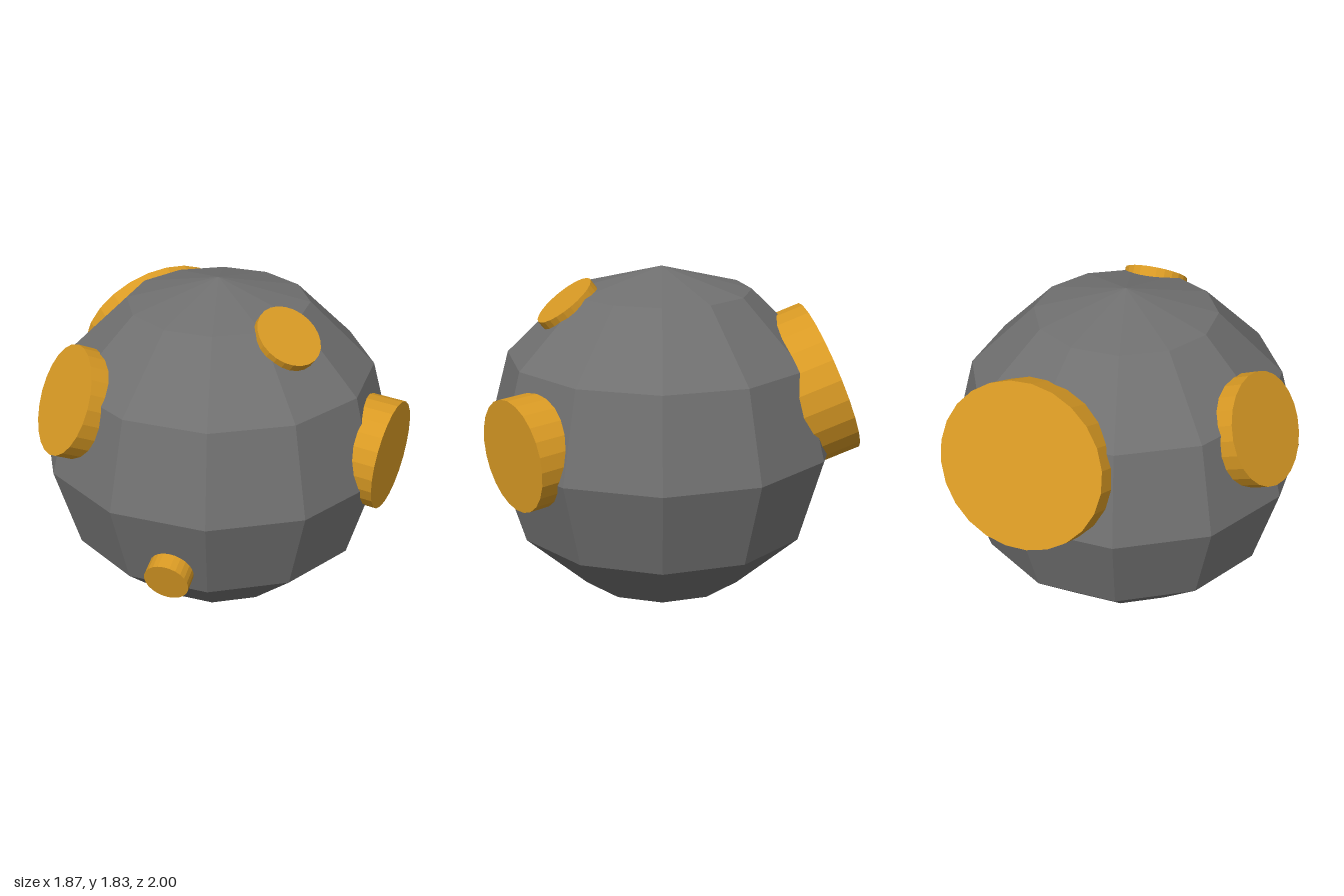
import * as THREE from 'three';

const stone = new THREE.MeshStandardMaterial({ color: 0x707070 });
stone.name = 'darkGrey';
const gold = new THREE.MeshStandardMaterial({ color: 0xd99a24 });
gold.name = 'gold';

// Faceted mesh: unshared vertices give one normal per face
function faceted(geometry, material, name) {
  const flat = geometry.toNonIndexed();
  flat.computeVertexNormals();
  const mesh = new THREE.Mesh(flat, material);
  mesh.name = name;
  return mesh;
}

// Round stud sunk into the ball; cap is the centre of its outer face
function stud(name, cap, normal, radiusX, radiusY = radiusX) {
  const depth = 0.32;
  const geometry = new THREE.CylinderGeometry(1, 1, depth, 24);
  geometry.rotateX(Math.PI / 2); // outer face towards +z
  geometry.translate(0, 0, -depth / 2);
  geometry.scale(radiusX, radiusY, 1);
  const mesh = faceted(geometry, gold, name);
  mesh.position.set(...cap);
  mesh.lookAt(new THREE.Vector3(...normal).add(mesh.position));
  return mesh;
}

export function createModel() {
  const model = new THREE.Group();
  model.name = 'studdedBall';

  // Low-poly ball: 12 sides, 6 bands, flat sides facing the axes
  const sphere = new THREE.SphereGeometry(1, 12, 6);
  sphere.rotateY(Math.PI / 12);
  sphere.scale(0.947, 0.915, 0.947);
  const ball = faceted(sphere, stone, 'ball');
  ball.position.set(0.02, 0.915, 0.017);
  model.add(ball);

  // Studs of different sizes around the ball
  model.add(
    stud('frontStud', [0.438, 1.005, 0.89], [0.367, -0.04, 0.93], 0.286),
    stud('backStud', [0.272, 1.245, -0.835], [0.16, 0.37, -0.92], 0.457, 0.41),
    stud('rightStud', [-0.798, 1.31, -0.228], [-0.87, 0.427, -0.25], 0.2875),
    stud('topStud', [0.022, 1.677, 0.536], [0, 0.8, 0.6], 0.172),
    stud('smallStud', [-0.75, 0.562, 0.505], [-0.83, -0.25, 0.5], 0.116),
  );
  return model;
}
